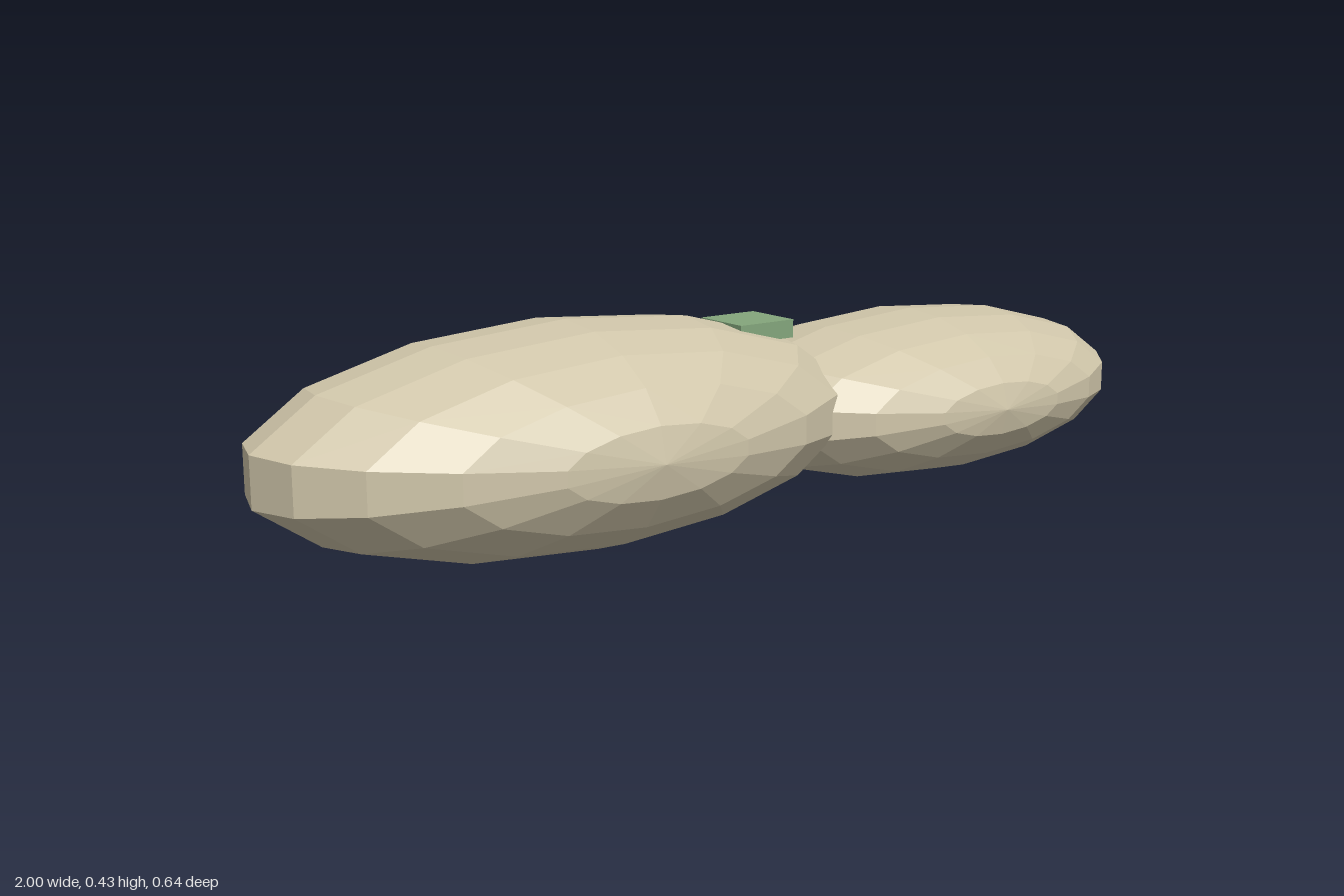
import * as THREE from 'three';

export function createModel() {
  const model = new THREE.Group();
  model.name = 'pebblePair';

  const stone = new THREE.MeshStandardMaterial({ color: 0xd0c6aa, flatShading: true });
  stone.name = 'stone';
  const green = new THREE.MeshStandardMaterial({ color: 0x84a67c, flatShading: true });
  green.name = 'sage green';

  const add = (name, geometry, material, x, y, z) => {
    const mesh = new THREE.Mesh(geometry, material);
    mesh.name = name;
    mesh.position.set(x, y, z);
    model.add(mesh);
  };

  // Flattened low-poly ellipsoid with its poles on z and a vertex at the crown
  const lobe = (rx, ry, rz) =>
    new THREE.SphereGeometry(1, 14, 10)
      .rotateX(Math.PI / 2)
      .rotateZ(Math.PI / 2)
      .scale(rx, ry, rz);

  add('largeLobe', lobe(0.636, 0.213, 0.319), stone, -0.38, 0.214, 0);
  add('smallLobe', lobe(0.533, 0.17, 0.298), stone, 0.48, 0.194, 0);

  // Small block set into the top where the lobes meet
  add('topBlock', new THREE.BoxGeometry(0.13, 0.036, 0.128), green, 0.046, 0.367, 0);

  return model;
}
